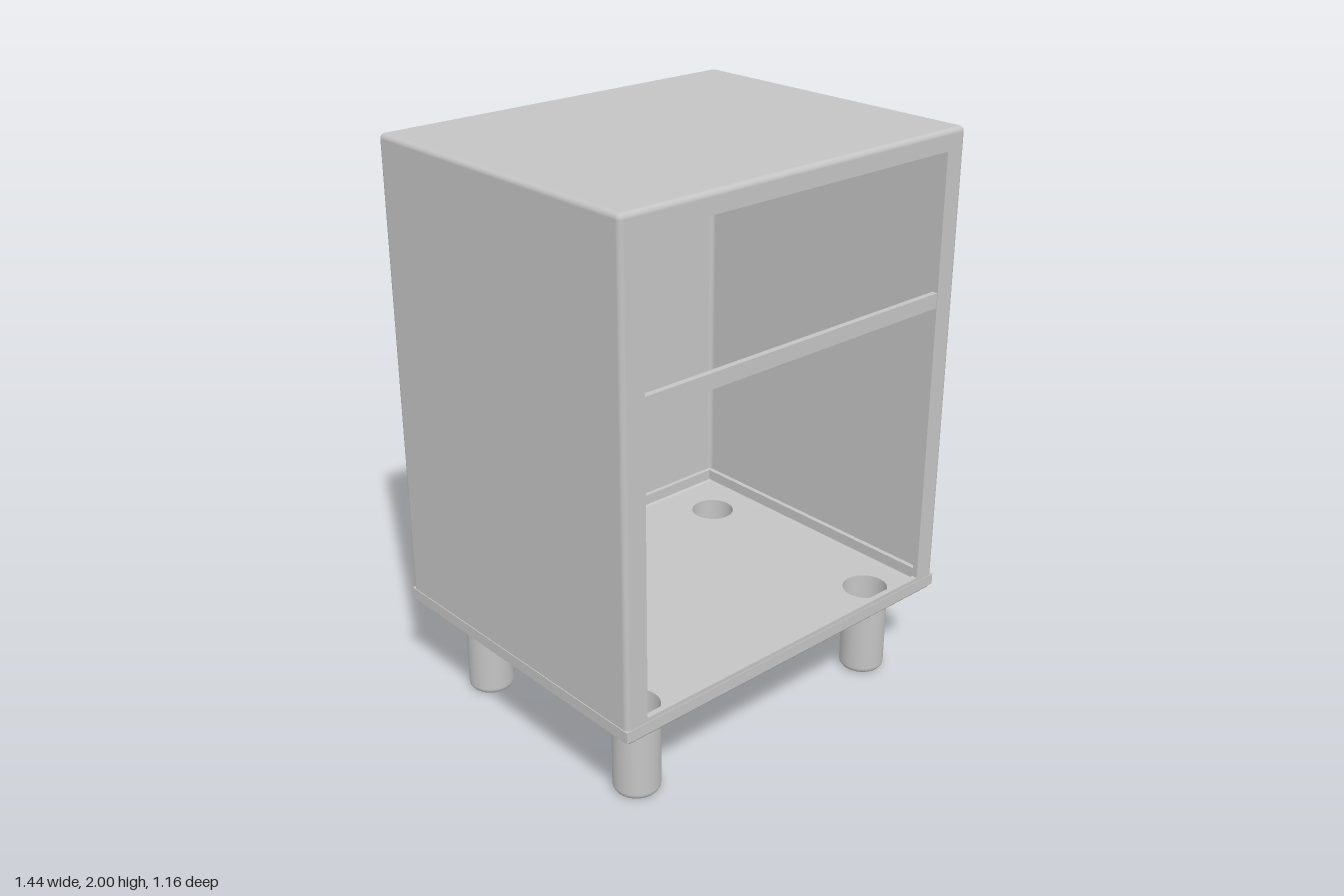
import * as THREE from 'three';
import { RoundedBoxGeometry } from 'three/addons/geometries/RoundedBoxGeometry.js';

const W = 1.43, D = 1.16, BOTTOM = 0.32, TOP = 2, EDGE = 0.018;
const H = TOP - BOTTOM, MID = (TOP + BOTTOM) / 2;
const LEG_X = 0.543, LEG_R = 0.08, LEG_Z = [0.42, -0.38];

// Rectangle outline, usable as a shape or as a hole
function rect(path, x0, y0, x1, y1) {
  path.moveTo(x0, y0);
  path.lineTo(x1, y0);
  path.lineTo(x1, y1);
  path.lineTo(x0, y1);
  path.closePath();
  return path;
}

// Rounded box without its flat front and flat underside
function openShell() {
  const box = new RoundedBoxGeometry(W, H, D, 3, EDGE);
  const source = box.index ? box.toNonIndexed() : box;
  const p = source.attributes.position, n = source.attributes.normal;
  const positions = [], normals = [];
  for (let i = 0; i < p.count; i += 3) {
    const corners = [i, i + 1, i + 2];
    const front = corners.every((c) => n.getZ(c) > 0.999);
    const under = corners.every((c) => n.getY(c) < -0.999);
    if (front || under) continue;
    for (const c of corners) {
      positions.push(p.getX(c), p.getY(c), p.getZ(c));
      normals.push(n.getX(c), n.getY(c), n.getZ(c));
    }
  }
  const geometry = new THREE.BufferGeometry();
  geometry.setAttribute('position', new THREE.Float32BufferAttribute(positions, 3));
  geometry.setAttribute('normal', new THREE.Float32BufferAttribute(normals, 3));
  return geometry;
}

export function createModel() {
  const model = new THREE.Group();
  model.name = 'bedsideCabinet';
  const grey = new THREE.MeshStandardMaterial({ color: 0xc4c4c4, side: THREE.DoubleSide });
  grey.name = 'plainGrey';

  function add(name, geometry, x = 0, y = 0, z = 0) {
    const mesh = new THREE.Mesh(geometry, grey);
    mesh.name = name;
    mesh.position.set(x, y, z);
    model.add(mesh);
    return mesh;
  }

  // Thin-walled cabinet: top, sides and back
  add('cabinetShell', openShell(), 0, MID, 0);

  // Front frame around the opening
  const fx = W / 2 - EDGE;
  const frame = rect(new THREE.Shape(), -fx, BOTTOM + EDGE, fx, TOP - EDGE);
  frame.holes.push(rect(new THREE.Path(), -0.632, 0.39, 0.632, 1.93));
  add('frontFrame', new THREE.ExtrudeGeometry(frame, { depth: 0.02, bevelEnabled: false }),
    0, 0, D / 2 - 0.02);

  // Rail between the upper and lower openings
  add('frontRail', new THREE.BoxGeometry(1.264, 0.052, 0.02), 0, 1.433, D / 2 - 0.012);

  // Floor sheet, open where the hollow legs join it
  const fz = D / 2 - EDGE;
  const floor = rect(new THREE.Shape(), -fx, -fz, fx, fz);
  for (const x of [-LEG_X, LEG_X]) {
    for (const z of LEG_Z) {
      const hole = new THREE.Path();
      hole.absarc(x, z, LEG_R, 0, Math.PI * 2, true);
      floor.holes.push(hole);
    }
  }
  const floorGeometry = new THREE.ShapeGeometry(floor, 24);
  floorGeometry.rotateX(Math.PI / 2); // shape y becomes z, facing down
  add('floor', floorGeometry, 0, BOTTOM, 0);

  // Slightly proud band along the bottom edge
  const bx = W / 2 + 0.003, bz = D / 2 + 0.002;
  const band = rect(new THREE.Shape(), -bx, -bz, bx, bz);
  band.holes.push(rect(new THREE.Path(), -fx, -fz, fx, fz));
  const bandGeometry = new THREE.ExtrudeGeometry(band, { depth: 0.04, bevelEnabled: false });
  bandGeometry.rotateX(-Math.PI / 2);
  add('bottomBand', bandGeometry, 0, BOTTOM + 0.015, 0);

  // Hollow round legs with softened feet
  const profile = [[0, 0], [0.062, 0], [0.073, 0.004], [0.079, 0.013], [LEG_R, 0.022], [LEG_R, BOTTOM]]
    .map(([r, y]) => new THREE.Vector2(r, y));
  const legGeometry = new THREE.LatheGeometry(profile, 40);
  for (const side of [-1, 1]) {
    LEG_Z.forEach((z, i) => {
      const name = (i === 0 ? 'front' : 'back') + (side > 0 ? 'Left' : 'Right') + 'Leg';
      add(name, legGeometry, side * LEG_X, 0, z);
    });
  }
  return model;
}
